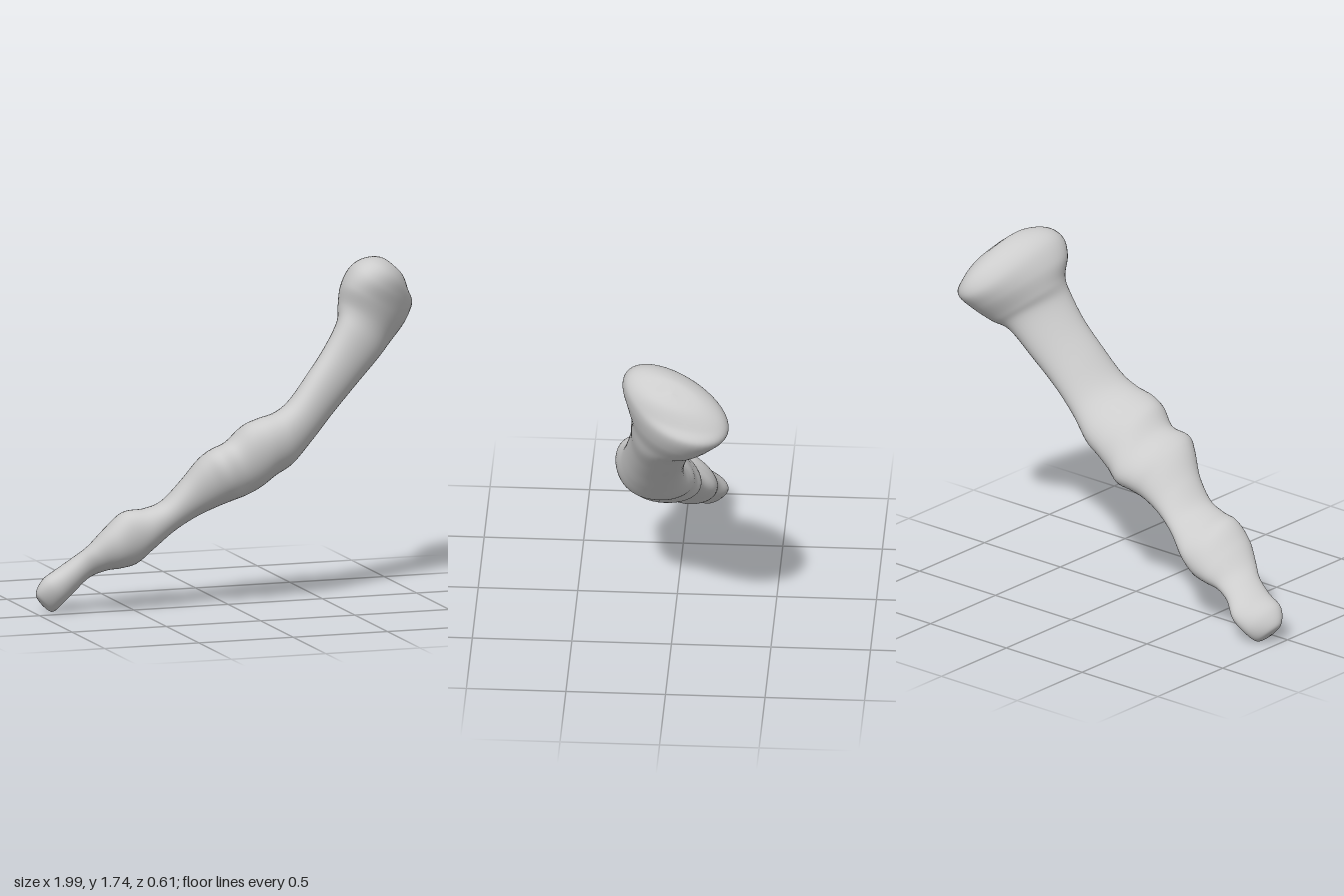
import * as THREE from 'three';

// Shaft sections, tip to neck: upper x,y, lower x,y, front z, back z
const shaft = [
  [-0.96, 0.04, -0.955, 0.035, -0.075, -0.085],
  [-0.995, 0.10, -0.905, 0.0, -0.025, -0.145],
  [-0.96, 0.175, -0.86, 0.035, 0.02, -0.19],
  [-0.88, 0.225, -0.79, 0.10, 0.025, -0.205],
  [-0.80, 0.285, -0.72, 0.17, 0.04, -0.165],
  [-0.74, 0.34, -0.64, 0.205, 0.085, -0.15],
  [-0.66, 0.43, -0.57, 0.215, 0.135, -0.165],
  [-0.57, 0.51, -0.49, 0.235, 0.15, -0.17],
  [-0.46, 0.525, -0.42, 0.30, 0.165, -0.16],
  [-0.37, 0.56, -0.31, 0.395, 0.165, -0.11],
  [-0.28, 0.66, -0.20, 0.465, 0.19, -0.085],
  [-0.20, 0.77, -0.10, 0.515, 0.25, -0.09],
  [-0.14, 0.82, -0.02, 0.545, 0.285, -0.11],
  [-0.05, 0.855, 0.06, 0.565, 0.262, -0.12],
  [0.03, 0.935, 0.13, 0.605, 0.285, -0.10],
  [0.11, 0.97, 0.20, 0.66, 0.297, -0.095],
  [0.20, 0.995, 0.29, 0.715, 0.285, -0.08],
  [0.28, 1.05, 0.40, 0.83, 0.255, -0.055],
  [0.38, 1.17, 0.52, 0.96, 0.225, -0.06],
  [0.48, 1.30, 0.65, 1.09, 0.20, -0.085],
  [0.55, 1.42, 0.78, 1.22, 0.19, -0.12],
];

// Domed two-lobed head sections: upper, front, lower and back points
const head = [
  [[0.572, 1.50, 0.04], [0.70, 1.43, 0.19], [0.86, 1.29, 0.0], [0.75, 1.34, -0.175]],
  [[0.585, 1.60, 0.05], [0.725, 1.53, 0.212], [0.945, 1.375, -0.04], [0.785, 1.42, -0.255]],
  [[0.635, 1.69, 0.05], [0.765, 1.60, 0.222], [0.998, 1.46, -0.09], [0.815, 1.49, -0.30]],
  [[0.71, 1.728, 0.03], [0.815, 1.655, 0.195], [0.968, 1.525, -0.08], [0.855, 1.56, -0.275]],
  [[0.80, 1.723, 0.0], [0.855, 1.68, 0.11], [0.93, 1.61, -0.05], [0.88, 1.62, -0.18]],
  [[0.867, 1.676, -0.025], [0.87, 1.675, -0.02], [0.873, 1.672, -0.025], [0.87, 1.673, -0.03]],
];

// Four guide curves run along the bone: upper, front, lower, back.
// The upper guide leans forward and the back one drops, flattening the upper back.
function makeRails() {
  const rails = [[], [], [], []];
  const add = (points) => points.forEach((p, k) => rails[k].push(new THREE.Vector3(...p)));
  for (const [ux, uy, lx, ly, zf, zb] of shaft) {
    const x = (ux + lx) / 2, y = (uy + ly) / 2, z = (zf + zb) / 2;
    const lean = 0.18 * (zf - zb), drop = 0.11;
    add([[ux, uy, z + lean], [x, y, zf], [lx, ly, z],
      [x + drop * (lx - ux), y + drop * (ly - uy), zb]]);
  }
  head.forEach(add);
  return rails.map((pts) => new THREE.CatmullRomCurve3(pts, false, 'catmullrom', 0.5));
}

// Smooth rings pass through the four guides at each step
function boneGeometry(steps = 208, sides = 48) {
  const rails = makeRails();
  const positions = [], index = [];
  for (let i = 0; i <= steps; i++) {
    const [u, f, l, b] = rails.map((r) => r.getPoint(i / steps));
    const centre = u.clone().add(f).add(l).add(b).multiplyScalar(0.25);
    const up = u.clone().sub(l).multiplyScalar(0.5);
    const out = f.clone().sub(b).multiplyScalar(0.5);
    const bend = u.clone().add(l).sub(f).sub(b).multiplyScalar(0.25);
    for (let j = 0; j < sides; j++) {
      const a = (j / sides) * Math.PI * 2;
      const p = centre.clone().addScaledVector(up, Math.cos(a))
        .addScaledVector(out, Math.sin(a)).addScaledVector(bend, Math.cos(2 * a));
      positions.push(p.x, p.y, p.z);
    }
  }
  for (let i = 0; i < steps; i++) {
    for (let j = 0; j < sides; j++) {
      const a = i * sides + j, b = i * sides + ((j + 1) % sides);
      index.push(a, b, a + sides, b, b + sides, a + sides);
    }
  }
  // Close both small end rings
  const last = steps * sides;
  for (let j = 1; j < sides - 1; j++) {
    index.push(0, j + 1, j, last, last + j, last + j + 1);
  }
  const geo = new THREE.BufferGeometry();
  geo.setAttribute('position', new THREE.Float32BufferAttribute(positions, 3));
  geo.setIndex(index);
  geo.computeVertexNormals();
  return geo;
}

export function createModel() {
  const group = new THREE.Group();
  group.name = 'knobblyBone';
  const boneGrey = new THREE.MeshStandardMaterial({ color: 0xcccccc });
  boneGrey.name = 'boneGrey';
  const bone = new THREE.Mesh(boneGeometry(), boneGrey);
  bone.name = 'bone';
  group.add(bone);
  return group;
}
